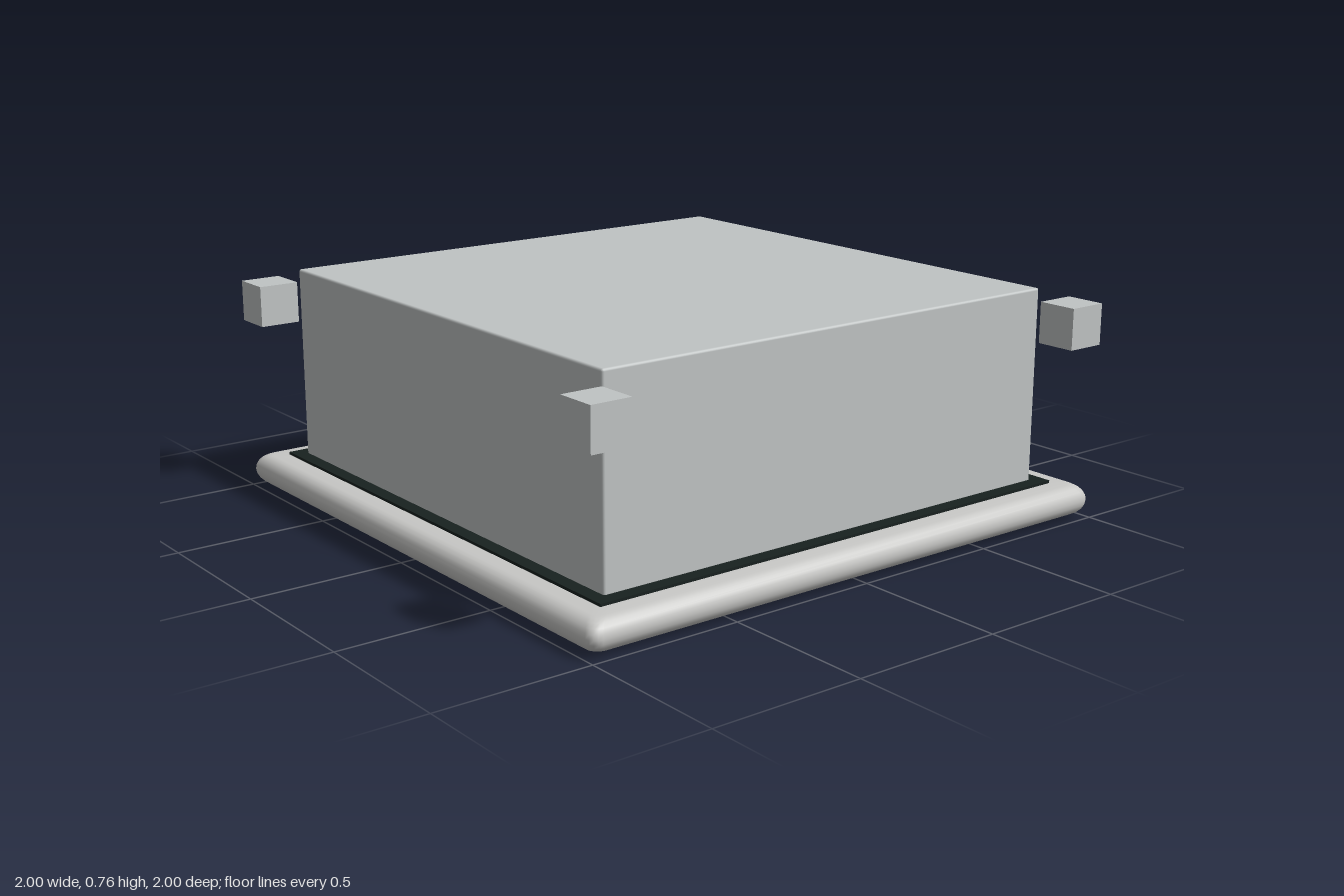
import * as THREE from 'three';
import { toCreasedNormals } from 'three/addons/utils/BufferGeometryUtils.js';
import { RoundedBoxGeometry } from 'three/addons/geometries/RoundedBoxGeometry.js';

const material = (name, color) => {
  const m = new THREE.MeshStandardMaterial({ color });
  m.name = name;
  return m;
};

// Sweeps a profile of [half width, y] points around a square with rounded corners.
function squareLoft(profile, radius) {
  const steps = 4;
  const ring = ([half, y]) => {
    const points = [];
    for (let corner = 0; corner < 4; corner++) {
      const mid = (corner + 0.5) * Math.PI / 2;
      const cx = Math.sign(Math.cos(mid)) * (half - radius);
      const cz = Math.sign(Math.sin(mid)) * (half - radius);
      for (let i = 0; i <= steps; i++) {
        const t = (corner + i / steps) * Math.PI / 2;
        points.push(cx + radius * Math.cos(t), y, cz + radius * Math.sin(t));
      }
    }
    return points;
  };
  const n = 4 * (steps + 1);
  const index = [];
  for (let i = 0; i < profile.length - 1; i++) {
    for (let j = 0; j < n; j++) {
      const a = i * n + j, d = i * n + (j + 1) % n;
      index.push(a, a + n, d, d, a + n, d + n);
    }
  }
  const geometry = new THREE.BufferGeometry();
  geometry.setAttribute('position', new THREE.Float32BufferAttribute(profile.flatMap(ring), 3));
  geometry.setIndex(index);
  return toCreasedNormals(geometry, 0.7);
}

export function createModel() {
  const model = new THREE.Group();
  model.name = 'ceilingAirConditioner';

  const metal = material('galvanised grey', 0xc0c4c4);
  const white = material('panel white', 0xc8c8c6);
  const grey = material('grille grey', 0xb0b2b0);
  const shade = material('filter grey', 0x747775);
  const dark = material('gasket black', 0x18211f);

  const add = (name, geometry, mat, x = 0, y = 0, z = 0, parent = model) => {
    const mesh = new THREE.Mesh(geometry, mat);
    mesh.name = name;
    mesh.position.set(x, y, z);
    parent.add(mesh);
    return mesh;
  };
  const box = (w, h, d) => new THREE.BoxGeometry(w, h, d);

  // Casing, control box and dark gasket
  add('casing', new RoundedBoxGeometry(1.72, 0.645, 1.72, 2, 0.008), metal, 0, 0.4375, 0);
  add('controlBox', new RoundedBoxGeometry(0.4, 0.29, 0.095, 2, 0.005), metal, 0.4, 0.345, -0.9025);
  add('gasket', box(1.81, 0.021, 1.81), dark, 0, 0.1105, 0);

  // Decorative panel frame with a rolled rim
  const rim = [[0.87, 0.012]];
  for (let i = 0; i <= 10; i++) {
    const t = -Math.PI / 2 + i * Math.PI / 10;
    rim.push([0.955 + 0.045 * Math.cos(t), 0.062 + 0.05 * Math.sin(t)]);
  }
  rim.push([0.87, 0.112], [0.87, 0.012]);
  add('panelFrame', squareLoft(rim, 0.035), white);

  // Hanging brackets, panel corners and screw caps
  for (const sx of [-1, 1]) {
    for (const sz of [-1, 1]) {
      add('hangingBracket', box(0.135, 0.135, 0.135), metal, sx * 0.9325, 0.6475, sz * 0.9325);
      add('panelCorner', box(0.13, 0.088, 0.13), white, sx * 0.825, 0.056, sz * 0.825);
      add('screwCap', new THREE.CylinderGeometry(0.036, 0.036, 0.012, 24), grey,
        sx * 0.88, 0.006, sz * 0.88);
    }
  }
  add('receiverWindow', box(0.09, 0.008, 0.035), dark, 0.785, 0.008, 0.88);

  // Air vanes, one along each side of the panel
  for (let i = 0; i < 4; i++) {
    const side = new THREE.Group();
    side.name = 'airOutlet';
    side.rotation.y = i * Math.PI / 2;
    model.add(side);
    const vane = add('vane', box(1.5, 0.008, 0.095), white, 0, 0.04, 0.822, side);
    vane.rotation.x = 0.35;
  }

  // Intake surround with a curved outer edge
  const surround = [
    [0.52, 0.07], [0.52, 0.022], [0.535, 0.015], [0.57, 0.017],
    [0.62, 0.03], [0.66, 0.05], [0.685, 0.075], [0.69, 0.108],
  ];
  add('intakeSurround', squareLoft(surround, 0.015), white);

  // Intake grille: filter, slats and centre bar
  add('filter', box(1.06, 0.01, 1.06), shade, 0, 0.06, 0);
  const slat = box(1.04, 0.008, 0.034);
  for (let i = 0; i < 22; i++) {
    add('slat', slat, grey, 0, 0.032, -0.494 + i * 0.047).rotation.x = 0.4;
  }
  add('centreBar', box(0.025, 0.035, 1.04), grey, 0, 0.036, 0);

  return model;
}
